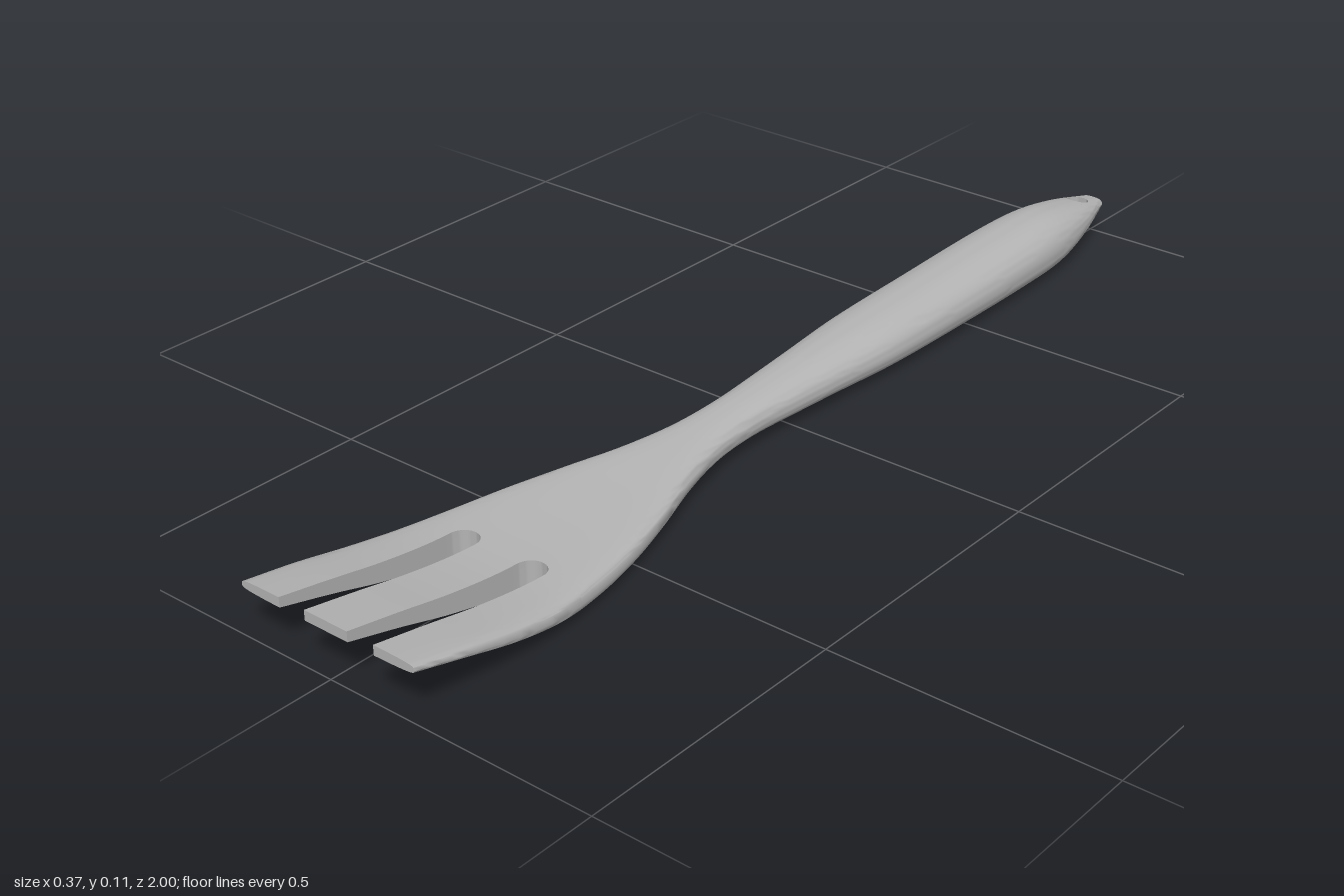
import * as THREE from 'three';
import { toCreasedNormals } from 'three/addons/utils/BufferGeometryUtils.js';

// Stations along the fork: z, half width, bottom y, top y, squareness of the section
const stations = [
  [-1, 0.023, 0.052, 0.07, 2.6], [-0.9, 0.053, 0.026, 0.093, 2.4],
  [-0.8, 0.071, 0.004, 0.107, 2.3], [-0.68, 0.078, 0.001, 0.107, 2.3],
  [-0.45, 0.078, 0.001, 0.099, 2.3], [-0.25, 0.075, 0.004, 0.092, 2.3],
  [-0.1, 0.063, 0.009, 0.084, 2.3], [0, 0.055, 0.012, 0.078, 2.4],
  [0.1, 0.049, 0.015, 0.072, 2.5], [0.2, 0.055, 0.016, 0.065, 2.8],
  [0.3, 0.077, 0.014, 0.058, 3.5], [0.4, 0.111, 0.01, 0.051, 4.5],
  [0.5, 0.14, 0.004, 0.047, 5.5], [0.6, 0.161, 0.001, 0.046, 6],
  [0.7, 0.176, 0.008, 0.05, 6], [0.8, 0.182, 0.028, 0.063, 6],
  [0.9, 0.182, 0.056, 0.082, 6], [1, 0.177, 0.082, 0.1, 6],
];

// Smooth interpolation of one station column
function sample(z, col) {
  const last = stations.length - 1;
  let i = 0;
  while (i < last - 1 && z > stations[i + 1][0]) i++;
  const slope = (k) => {
    const a = stations[Math.max(k - 1, 0)], b = stations[Math.min(k + 1, last)];
    return (b[col] - a[col]) / (b[0] - a[0]);
  };
  const [p, q] = [stations[i], stations[i + 1]];
  const d = q[0] - p[0], t = (z - p[0]) / d, s = 1 - t;
  return p[col] * (1 + 2 * t) * s * s + slope(i) * d * t * s * s
    + q[col] * t * t * (3 - 2 * t) - slope(i + 1) * d * t * t * s;
}
const width = (z) => sample(z, 1);

// Height of the upper (side 1) or lower (side -1) skin
function skin(x, z, side) {
  const bottom = sample(z, 2), top = sample(z, 3), p = sample(z, 4);
  const middle = bottom + (top - bottom) * 0.45;
  const power = side > 0 ? p : Math.min(p, 3.6);
  const u = Math.min(1, Math.abs(x) / width(z));
  const bulge = Math.pow(Math.max(0, 1 - Math.pow(u, power)), 1 / power);
  return middle + ((side > 0 ? top : bottom) - middle) * bulge;
}

// Half opening of a round cut at distance dz from its centre
const arc = (r, dz) => Math.sqrt(Math.max(0, r * r - dz * dz));
const slot = { x: 0.0705, r: 0.0265, z: 0.6625 };
const hole = { r: 0.021, z: -0.944 };
const slotHalf = (z) => (z >= slot.z ? slot.r : arc(slot.r, z - slot.z));
const holeHalf = (z) => arc(hole.r, z - hole.z);

const range = (a, b, n) => Array.from({ length: n + 1 }, (_, i) => a + (b - a) * i / n);
const eased = (a, b, n) => range(0, Math.PI, n).map((t) => a + (b - a) * (1 - Math.cos(t)) / 2);

export function createModel() {
  const grey = new THREE.MeshStandardMaterial({ color: 0xb4b4b4 });
  grey.name = 'soft grey';

  const positions = [];
  const parts = [];
  const quad = (a, b, c, d) => positions.push(...a, ...b, ...c, ...b, ...d, ...c);

  // Solid strip between two edge curves, with walls along its cut edges and end caps
  function strip(name, zs, left, right, columns, wallLeft, wallRight) {
    const start = positions.length;
    const rows = zs.map((z) => eased(left(z), right(z), columns).map((x) => ({
      top: [x, skin(x, z, 1), z], low: [x, skin(x, z, -1), z],
    })));
    for (let i = 0; i < rows.length - 1; i++) {
      const [a, b] = [rows[i], rows[i + 1]];
      for (let j = 0; j < columns; j++) {
        quad(a[j].top, b[j].top, a[j + 1].top, b[j + 1].top);
        quad(a[j].low, a[j + 1].low, b[j].low, b[j + 1].low);
      }
      if (wallLeft) quad(a[0].low, b[0].low, a[0].top, b[0].top);
      if (wallRight) quad(a[columns].low, a[columns].top, b[columns].low, b[columns].top);
    }
    const first = rows[0], end = rows[rows.length - 1];
    for (let j = 0; j < columns; j++) {
      if (zs[0] === -1) quad(first[j].low, first[j].top, first[j + 1].low, first[j + 1].top);
      if (zs[zs.length - 1] === 1) quad(end[j].low, end[j + 1].low, end[j].top, end[j + 1].top);
    }
    parts.push({ name, start, count: positions.length - start });
  }

  // Handle tip, split around the hanging hole
  const holeStart = hole.z - hole.r, holeEnd = hole.z + hole.r;
  const holeRows = eased(holeStart, holeEnd, 16);
  strip('handleTip', range(-1, holeStart, 4), (z) => -width(z), width, 28);
  strip('holeSideRight', holeRows, (z) => -width(z), (z) => -holeHalf(z), 14, false, true);
  strip('holeSideLeft', holeRows, holeHalf, width, 14, true, false);

  // Handle, neck and the uncut part of the head
  const slotStart = slot.z - slot.r;
  strip('handle', range(holeEnd, 0.2, 50), (z) => -width(z), width, 28);
  strip('head', range(0.2, slotStart, 24), (z) => -width(z), width, 28);

  // Three tines separated by round-ended slots
  const arcRows = range(0, Math.PI / 2, 10).map((t) => slot.z - slot.r * Math.cos(t));
  const tineRows = [...arcRows, ...range(slot.z, 1, 20).slice(1)];
  const inner = (z) => slot.x - slotHalf(z), outer = (z) => slot.x + slotHalf(z);
  strip('rightTine', tineRows, (z) => -width(z), (z) => -outer(z), 16, false, true);
  strip('middleTine', tineRows, (z) => -inner(z), inner, 12, true, true);
  strip('leftTine', tineRows, outer, width, 16, true, false);

  // Shade the whole body together, then divide it into named parts
  let body = new THREE.BufferGeometry();
  body.setAttribute('position', new THREE.Float32BufferAttribute(positions, 3));
  body = toCreasedNormals(body, 0.9);
  const group = new THREE.Group();
  group.name = 'fork';
  for (const { name, start, count } of parts) {
    const geometry = new THREE.BufferGeometry();
    for (const key of ['position', 'normal']) {
      const values = body.attributes[key].array.slice(start, start + count);
      geometry.setAttribute(key, new THREE.BufferAttribute(values, 3));
    }
    const mesh = new THREE.Mesh(geometry, grey);
    mesh.name = name;
    group.add(mesh);
  }
  return group;
}
